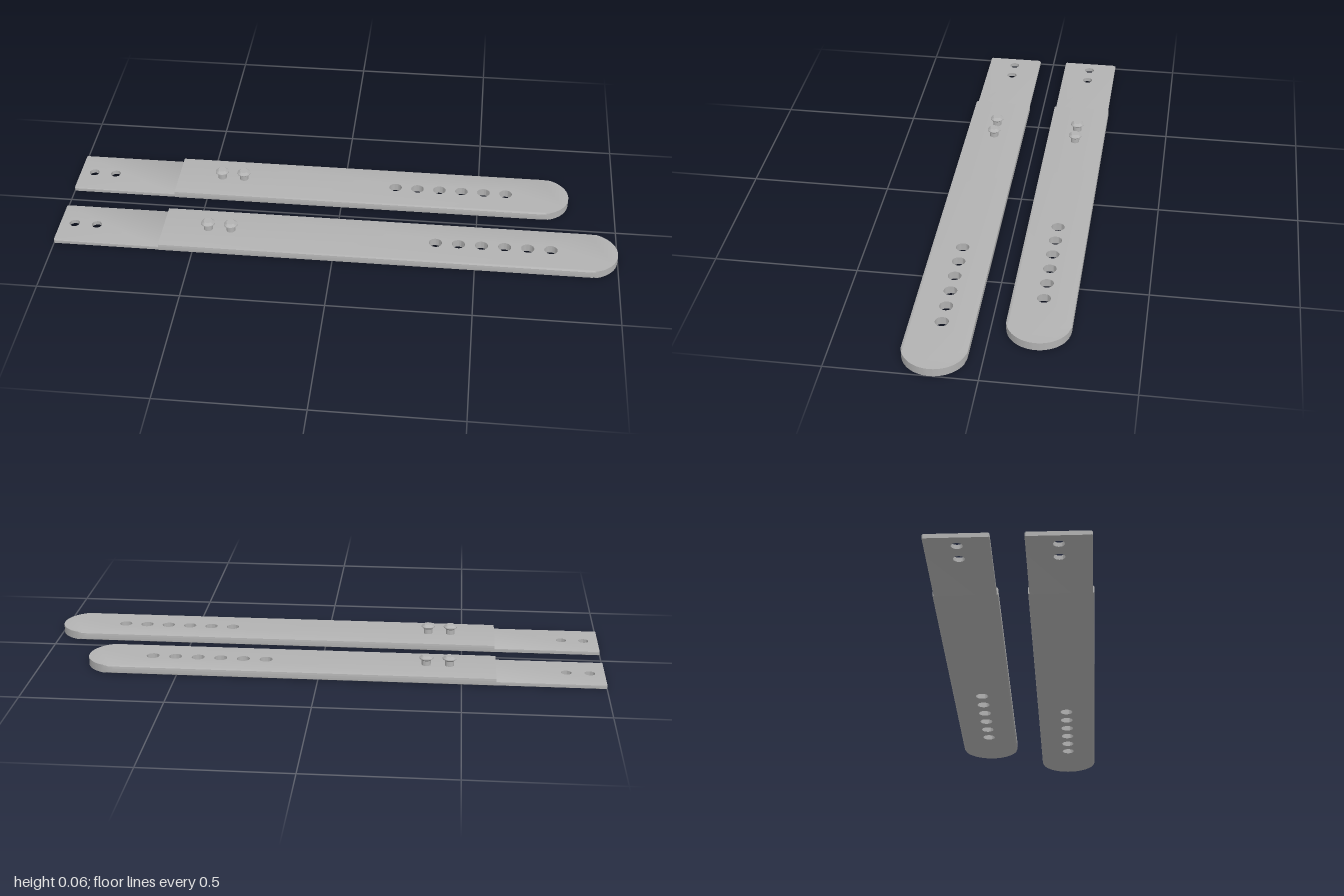
import * as THREE from 'three';
import { toCreasedNormals } from 'three/addons/utils/BufferGeometryUtils.js';

const grey = new THREE.MeshStandardMaterial({ color: 0xb2b2b2 });
grey.name = 'grey';

const HALF = 0.108, THICK = 0.029, TAB_HALF = 0.104, TAB_THICK = 0.015;
const START = -1, STEP_X = -0.62, PITCH = 0.0815;

// Flat plate lying on y = 0 with round holes and softly rounded long edges
function plate(shape, holes, radius, half, thick, fillet) {
  for (const x of holes) {
    shape.holes.push(new THREE.Path().absarc(x, 0, radius, 0, Math.PI * 2, true));
  }
  const geo = new THREE.ExtrudeGeometry(shape, {
    depth: thick, steps: 10, bevelEnabled: false, curveSegments: 24,
  });
  geo.rotateX(-Math.PI / 2);
  const p = geo.attributes.position;
  for (let i = 0; i < p.count; i++) {
    // narrow the layers close to the top and bottom along a quarter circle
    const d = Math.max(0, fillet - Math.min(p.getY(i), thick - p.getY(i)));
    const limit = half - fillet + Math.sqrt(Math.max(0, fillet * fillet - d * d));
    p.setZ(i, THREE.MathUtils.clamp(p.getZ(i), -limit, limit));
  }
  geo.deleteAttribute('normal');
  geo.computeVertexNormals();
  return toCreasedNormals(geo, 0.7);
}

function add(group, name, geo) {
  const mesh = new THREE.Mesh(geo, grey);
  mesh.name = name;
  group.add(mesh);
  return mesh;
}

function strap(name, endX, firstHole) {
  const group = new THREE.Group();
  group.name = name;

  // Main band with a semicircular tip and a row of adjustment holes
  const band = new THREE.Shape();
  band.moveTo(STEP_X, -HALF);
  band.lineTo(endX - HALF, -HALF);
  band.absarc(endX - HALF, 0, HALF, -Math.PI / 2, Math.PI / 2, false);
  band.lineTo(STEP_X, HALF);
  band.closePath();
  const holes = Array.from({ length: 6 }, (_, i) => firstHole + i * PITCH);
  add(group, 'band', plate(band, holes, 0.023, HALF, THICK, 0.006));

  // Thin end tab with two rivet holes
  const tab = new THREE.Shape();
  tab.moveTo(START, -TAB_HALF + 0.004);
  tab.lineTo(START + 0.004, -TAB_HALF);
  tab.lineTo(STEP_X, -TAB_HALF);
  tab.lineTo(STEP_X, TAB_HALF);
  tab.lineTo(START + 0.004, TAB_HALF);
  tab.lineTo(START, TAB_HALF - 0.004);
  tab.closePath();
  add(group, 'endTab', plate(tab, [-0.948, -0.866], 0.0185, TAB_HALF, TAB_THICK, 0.003));

  // Two mushroom-headed fastening studs
  const profile = [
    [0.016, 0.02], [0.016, 0.047], [0.0245, 0.054],
    [0.0245, 0.057], [0.015, 0.065], [0, 0.065],
  ].map(([r, y]) => new THREE.Vector2(r, y));
  const studGeo = toCreasedNormals(new THREE.LatheGeometry(profile, 32), 0.5);
  for (const x of [-0.457, -0.375]) add(group, 'stud', studGeo).position.x = x;

  return group;
}

export function createModel() {
  const model = new THREE.Group();
  model.name = 'strapPair';
  const front = strap('longStrap', 1, 0.358);
  front.position.z = 0.157;
  const back = strap('shortStrap', 0.832, 0.194);
  back.position.z = -0.157;
  model.add(front, back);
  return model;
}
